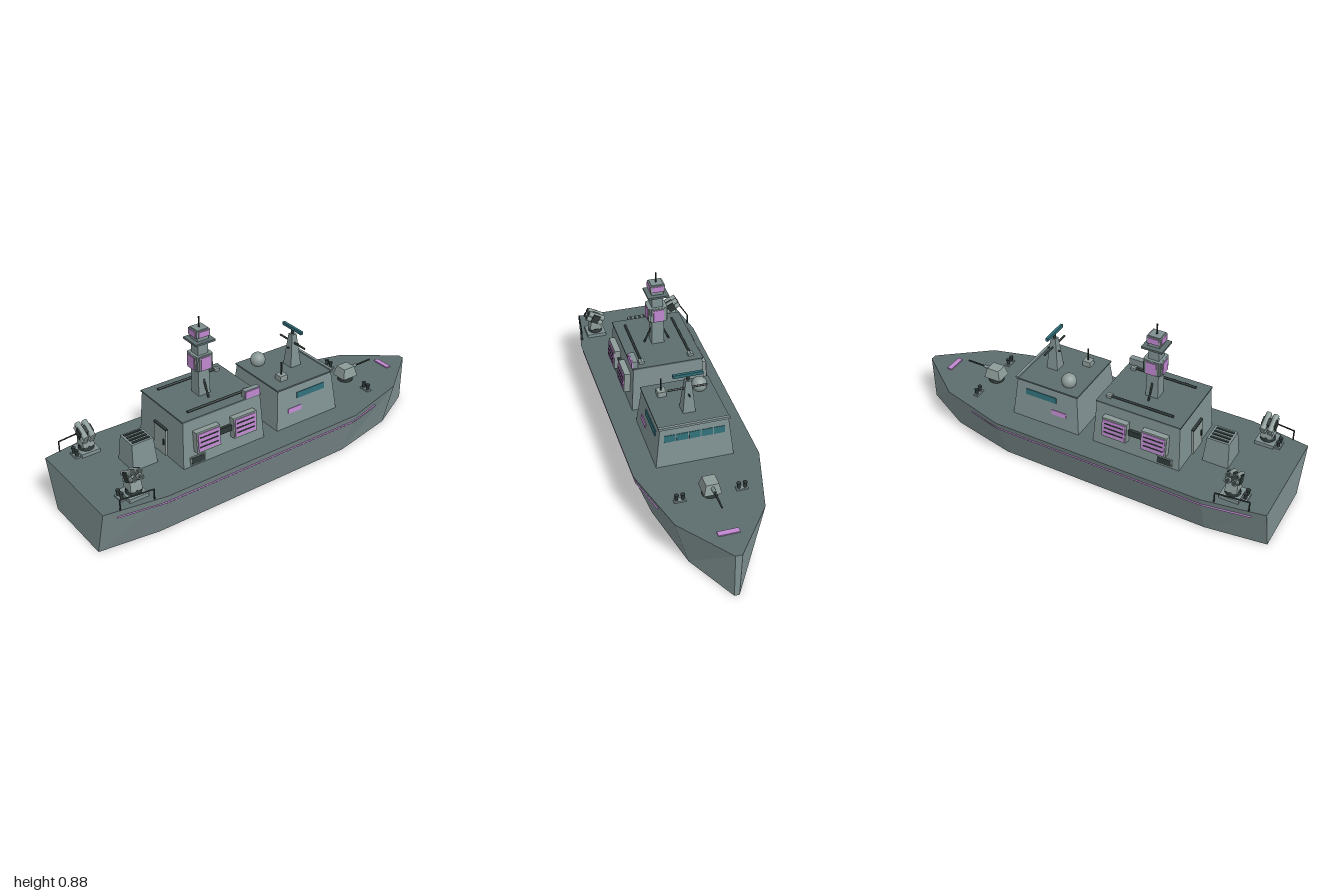
import * as THREE from 'three';

const mat = (name, color, side = THREE.FrontSide) => {
  const m = new THREE.MeshStandardMaterial({ color, side });
  m.name = name;
  return m;
};

export function createModel() {
  const grey = mat('hull grey', 0x7f9091);
  const deckGrey = mat('deck grey', 0x5c6c6d);
  const pale = mat('pale grey', 0x8c9b99);
  const dark = mat('dark fittings', 0x2e3937);
  const violet = mat('violet panels', 0xc088d0);
  const teal = mat('teal glass', 0x2f6d77);

  const ship = new THREE.Group();
  ship.name = 'patrolShip';
  const DECK = 0.247;

  const add = (name, geo, m, x = 0, y = 0, z = 0, parent = ship) => {
    const mesh = new THREE.Mesh(geo, m);
    mesh.name = name;
    mesh.position.set(x, y, z);
    parent.add(mesh);
    return mesh;
  };
  const box = (name, m, w, h, d, x, y, z, parent) =>
    add(name, new THREE.BoxGeometry(w, h, d), m, x, y, z, parent);
  const group = (name, x = 0, y = 0, z = 0, parent = ship) => {
    const g = new THREE.Group();
    g.name = name;
    g.position.set(x, y, z);
    parent.add(g);
    return g;
  };
  // Box standing on y whose top is scaled by (sx, sz)
  const taper = (name, m, w, h, d, sx, sz, x, y, z, parent) => {
    const g = new THREE.BoxGeometry(w, h, d).translate(0, h / 2, 0);
    const p = g.attributes.position;
    for (let i = 0; i < p.count; i++)
      if (p.getY(i) > h / 2) p.setXYZ(i, p.getX(i) * sx, h, p.getZ(i) * sz);
    g.computeVertexNormals();
    return add(name, g, m, x, y, z, parent);
  };
  // Round bar between two points
  const bar = (name, m, a, b, r, parent, sides = 8) => {
    const A = new THREE.Vector3(...a), B = new THREE.Vector3(...b);
    const dir = B.clone().sub(A);
    const mesh = add(name, new THREE.CylinderGeometry(r, r, dir.length(), sides), m, 0, 0, 0, parent);
    mesh.position.copy(A).add(B).multiplyScalar(0.5);
    mesh.quaternion.setFromUnitVectors(new THREE.Vector3(0, 1, 0), dir.normalize());
    return mesh;
  };

  // Hull: z, half width at deck, half width at bottom
  const stations = [[1, 0.27, 0.195], [0.7, 0.318, 0.233], [-0.4, 0.307, 0.222],
    [-0.75, 0.21, 0.145], [-1, 0.016, 0.012]];
  const pos = [];
  const quad = (a, b, c, d) => pos.push(...a, ...b, ...c, ...a, ...c, ...d);
  const corner = (s, side, top) => [side * s[top ? 1 : 2], top ? DECK : 0, s[0]];
  for (let i = 0; i < stations.length - 1; i++) {
    const s = stations[i], t = stations[i + 1];
    quad(corner(s, 1, 0), corner(t, 1, 0), corner(t, 1, 1), corner(s, 1, 1));
    quad(corner(t, -1, 0), corner(s, -1, 0), corner(s, -1, 1), corner(t, -1, 1));
    quad(corner(s, -1, 0), corner(t, -1, 0), corner(t, 1, 0), corner(s, 1, 0));
  }
  const stern = stations[0], stem = stations[4];
  quad(corner(stern, -1, 0), corner(stern, 1, 0), corner(stern, 1, 1), corner(stern, -1, 1));
  quad(corner(stem, 1, 0), corner(stem, -1, 0), corner(stem, -1, 1), corner(stem, 1, 1));
  const hullGeo = new THREE.BufferGeometry();
  hullGeo.setAttribute('position', new THREE.Float32BufferAttribute(pos, 3));
  hullGeo.computeVertexNormals();
  add('hull', hullGeo, grey);
  const outline = [...stations.map(s => [s[1], -s[0]]), ...stations.map(s => [-s[1], -s[0]]).reverse()];
  const deckShape = new THREE.Shape(outline.map(p => new THREE.Vector2(...p)));
  add('deck', new THREE.ShapeGeometry(deckShape).rotateX(-Math.PI / 2), deckGrey, 0, DECK, 0);

  // Violet rubbing strake along the hull sides
  const widthAt = (z, y) => {
    const i = Math.max(0, stations.findIndex(s => s[0] <= z) - 1);
    const s = stations[i], t = stations[i + 1], k = (s[0] - z) / (s[0] - t[0]), v = y / DECK;
    const w = q => q[2] + (q[1] - q[2]) * v;
    return w(s) + (w(t) - w(s)) * k;
  };
  const strakeZ = [0.93, 0.7, -0.4, -0.59];
  for (const s of [-1, 1])
    for (let i = 0; i < 3; i++)
      bar('hullStrake', violet, [s * widthAt(strakeZ[i], 0.205), 0.205, strakeZ[i]],
        [s * widthAt(strakeZ[i + 1], 0.205), 0.205, strakeZ[i + 1]], 0.006, ship, 4);
  box('bowPlate', violet, 0.1, 0.006, 0.026, 0, DECK + 0.004, -0.86);

  // Bridge deckhouse
  taper('bridgeHouse', grey, 0.38, 0.203, 0.37, 0.87, 0.89, 0, DECK, -0.185);
  box('bridgeRoof', deckGrey, 0.342, 0.008, 0.34, 0, 0.453, -0.185);
  box('bridgeVisor', grey, 0.345, 0.012, 0.014, 0, 0.458, -0.351);
  for (let i = -2; i <= 2; i++)
    box('frontWindow', teal, 0.054, 0.036, 0.006, i * 0.06, 0.397, -0.3545).rotation.x = 0.1;
  for (const s of [-1, 1]) {
    box('sideWindow', teal, 0.006, 0.03, 0.17, s * 0.173, 0.395, -0.215).rotation.z = s * 0.12;
    box('sidePlate', violet, 0.006, 0.024, 0.08, s * 0.181, 0.328, -0.113).rotation.z = s * 0.12;
  }

  // Dome and whip aerial on the bridge roof
  add('domeBase', new THREE.CylinderGeometry(0.022, 0.026, 0.03, 16), dark, -0.1, 0.465, -0.1);
  add('dome', new THREE.SphereGeometry(0.038, 20, 14), pale, -0.1, 0.482, -0.1);
  box('aerialBox', pale, 0.042, 0.03, 0.042, 0.09, 0.47, -0.1);
  bar('whipAerial', dark, [0.09, 0.48, -0.1], [0.09, 0.55, -0.1], 0.004);

  // Forward mast with yard and radar bar
  const fore = group('foreMast', 0, 0.455, -0.237);
  taper('foreMastTower', grey, 0.062, 0.17, 0.062, 0.45, 0.45, 0, 0, 0, fore);
  bar('foreYard', dark, [-0.095, 0.125, 0], [0.095, 0.125, 0], 0.005, fore);
  bar('lowerYard', dark, [0, 0.1, -0.04], [0, 0.1, 0.03], 0.004, fore);
  bar('radarPivot', dark, [0, 0.17, 0], [0, 0.195, 0], 0.008, fore);
  box('radarBar', teal, 0.144, 0.016, 0.014, 0, 0.2, 0, fore);

  // Main deckhouse
  taper('mainHouse', grey, 0.38, 0.236, 0.456, 0.92, 0.94, 0, DECK, 0.308);
  box('mainRoof', deckGrey, 0.358, 0.008, 0.436, 0, 0.485, 0.308);
  for (const s of [-1, 1]) {
    bar('roofRail', dark, [s * 0.125, 0.497, 0.13], [s * 0.125, 0.497, 0.465], 0.006);
    box('railFoot', pale, 0.026, 0.014, 0.026, s * 0.125, 0.495, 0.135);
    // Louvred side intakes
    for (const z of [0.205, 0.41]) {
      const intake = group('sideIntake', s * 0.197, 0.375, z);
      intake.rotation.z = s * 0.063;
      box('intakeFrame', pale, 0.032, 0.105, 0.13, 0, 0, 0, intake);
      box('intakePanel', violet, 0.006, 0.088, 0.116, s * 0.017, 0, 0, intake);
      for (const y of [-0.024, 0, 0.024])
        box('intakeSlat', dark, 0.006, 0.006, 0.1, s * 0.019, y, 0, intake);
    }
    box('intakeLink', dark, 0.022, 0.03, 0.08, s * 0.185, 0.374, 0.307);
    const hatch = box('sideVent', pale, 0.006, 0.042, 0.082, s * 0.19, 0.275, 0.458);
    hatch.rotation.z = s * 0.063;
    box('sideVentGrille', dark, 0.004, 0.032, 0.07, s * 0.003, 0, 0, hatch);
  }
  box('roofLocker', grey, 0.026, 0.04, 0.084, 0.163, 0.506, 0.138);
  box('roofLockerPlate', violet, 0.006, 0.036, 0.08, 0.179, 0.506, 0.138);
  const door = box('aftDoor', pale, 0.1, 0.135, 0.012, 0, 0.318, 0.536);
  door.rotation.x = -0.055;
  box('doorHandle', dark, 0.008, 0.03, 0.006, 0.035, 0, 0.008, door);
  box('doorHeader', dark, 0.104, 0.007, 0.016, 0, 0.387, 0.533);

  // Main mast: column, sensor boxes and platform
  const mast = group('mainMast', 0, 0.488, 0.307);
  taper('mastColumn', grey, 0.064, 0.28, 0.064, 0.84, 0.84, 0, 0, 0, mast);
  const sensor = (name, y, h, core, plate) => {
    box(name, grey, core * 2, h, core * 2, 0, y, 0, mast);
    for (let i = 0; i < 4; i++) {
      const side = group(name + 'Side', 0, y, 0, mast);
      side.rotation.y = i * Math.PI / 2;
      box('panelFrame', pale, plate * 2 + 0.016, h * 0.96, 0.006, 0, 0, core + 0.003, side);
      box('panel', violet, plate * 2, h * 0.85, 0.004, 0, 0, core + 0.007, side);
    }
  };
  sensor('lowerSensor', 0.174, 0.075, 0.042, 0.026);
  box('mastPlatform', deckGrey, 0.106, 0.01, 0.106, 0, 0.279, 0, mast);
  box('upperBlock', grey, 0.06, 0.056, 0.06, 0, 0.312, 0, mast);
  sensor('upperSensor', 0.318, 0.034, 0.03, 0.027);
  bar('mastPole', dark, [0, 0.33, 0], [0, 0.392, 0], 0.004, mast);
  for (const s of [-1, 1])
    bar('mastStrut', dark, [s * 0.064, 0, 0], [s * 0.025, 0.085, 0], 0.005, mast);

  // Deck gun pointing to the bow
  const gun = group('deckGun', 0, DECK, -0.597);
  add('gunBase', new THREE.CylinderGeometry(0.036, 0.04, 0.024, 16), dark, 0, 0.012, 0, gun);
  taper('gunHouse', pale, 0.084, 0.052, 0.092, 0.72, 0.72, 0, 0.024, 0, gun);
  bar('gunSleeve', grey, [0, 0.058, -0.03], [0, 0.058, -0.068], 0.009, gun);
  bar('gunBarrel', dark, [0, 0.058, -0.06], [0, 0.06, -0.168], 0.0045, gun);

  // Stern block with slotted top
  taper('sternBlock', grey, 0.134, 0.13, 0.13, 0.79, 0.86, 0, DECK, 0.663);
  for (const x of [-0.036, -0.012, 0.012, 0.036])
    box('blockSlot', dark, 0.012, 0.006, 0.09, x, DECK + 0.131, 0.663);

  for (const s of [-1, 1]) {
    // Twin bollards fore and aft
    for (const [x, z] of [[0.147, -0.61], [0.205, 0.878]]) {
      const bollard = group('bollards', s * x, DECK, z);
      box('bollardPlate', grey, 0.056, 0.008, 0.026, 0, 0.004, 0, bollard);
      for (const d of [-0.015, 0.015]) {
        bar('bollardPost', dark, [d, 0, 0], [d, 0.036, 0], 0.008, bollard);
        bar('bollardCap', dark, [d, 0.03, 0], [d, 0.037, 0], 0.011, bollard);
      }
    }

    // Four tube launcher aimed outboard
    const launcher = group('launcher', s * 0.215, DECK, 0.815);
    box('launcherBase', grey, 0.1, 0.018, 0.095, 0, 0.009, 0, launcher);
    add('launcherRing', new THREE.CylinderGeometry(0.034, 0.038, 0.022, 12), dark, 0, 0.028, 0, launcher);
    taper('launcherPedestal', pale, 0.066, 0.052, 0.06, 0.7, 0.9, 0, 0.036, 0, launcher);
    const tubes = group('tubes', 0, 0.103, 0, launcher);
    tubes.rotation.z = s * 0.5;
    box('tubeCradle', dark, 0.04, 0.046, 0.07, 0, 0, 0, tubes);
    for (const y of [-0.014, 0.014])
      for (const z of [-0.018, 0.018]) {
        bar('tube', pale, [-0.046, y, z], [0.046, y, z], 0.0145, tubes, 12);
        bar('tubeMouth', dark, [s * 0.044, y, z], [s * 0.048, y, z], 0.011, tubes, 12);
      }

    // Stern guard rail
    const rail = [[0.3, 0.76], [0.281, 0.92]];
    for (const [x, z] of rail)
      bar('railPost', dark, [s * x, DECK, z], [s * x, 0.3, z], 0.0035);
    bar('railTop', dark, [s * 0.3, 0.3, 0.76], [s * 0.281, 0.3, 0.92], 0.0035);
  }
  return ship;
}
